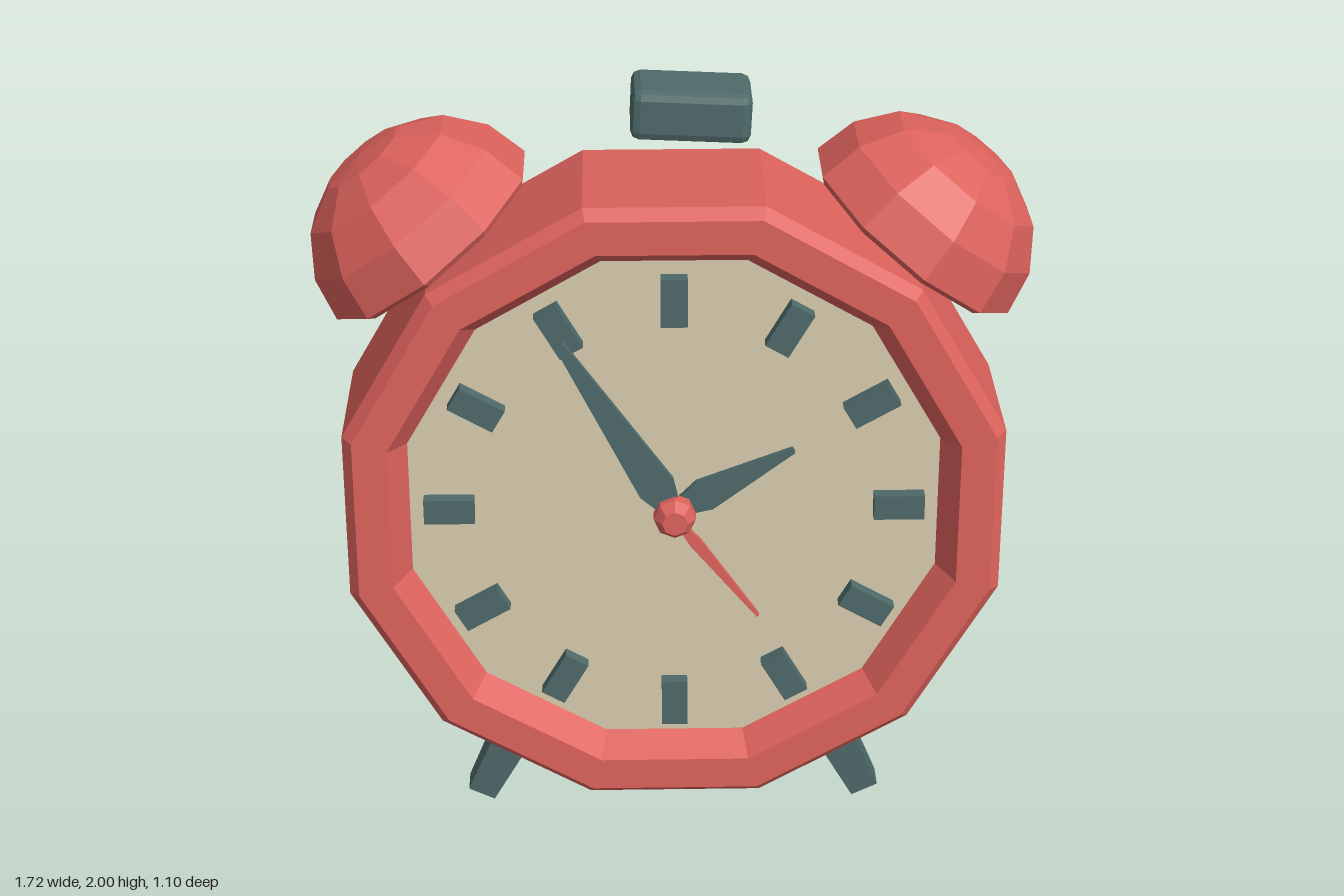
import * as THREE from 'three';
import { RoundedBoxGeometry } from 'three/addons/geometries/RoundedBoxGeometry.js';

const rad = THREE.MathUtils.degToRad;

const red = new THREE.MeshStandardMaterial({ color: 0xdd625c });
red.name = 'red enamel';
const dark = new THREE.MeshStandardMaterial({ color: 0x4f6a6a });
dark.name = 'dark slate';
const cream = new THREE.MeshStandardMaterial({ color: 0xd8cbae });
cream.name = 'cream dial';

// Faceted mesh: every triangle gets its own normal
function part(name, geometry, material, parent) {
  const g = geometry.index ? geometry.toNonIndexed() : geometry;
  g.computeVertexNormals();
  const mesh = new THREE.Mesh(g, material);
  mesh.name = name;
  parent.add(mesh);
  return mesh;
}

// Lathe from [radius, height] pairs, listed from bottom to top
function turned(points, sides, start = 0) {
  return new THREE.LatheGeometry(points.map(([r, h]) => new THREE.Vector2(r, h)), sides, start);
}

// Kite-shaped hand, narrow at the hub, widest near it and tapering to the tip
function hand(name, length, width, tip, clockAngle, z, depth, material, parent) {
  const s = new THREE.Shape();
  s.moveTo(-width * 0.2, 0);
  s.lineTo(width * 0.2, 0);
  s.lineTo(width / 2, 0.085);
  s.lineTo(tip / 2, length);
  s.lineTo(-tip / 2, length);
  s.lineTo(-width / 2, 0.085);
  s.closePath();
  const mesh = part(name, new THREE.ExtrudeGeometry(s, { depth, bevelEnabled: false }), material, parent);
  mesh.position.z = z;
  mesh.rotation.z = -rad(clockAngle);
}

export function createModel() {
  const model = new THREE.Group();
  model.name = 'alarmClock';

  // Clock is turned to its left and leans back slightly
  const clock = new THREE.Group();
  clock.name = 'clock';
  clock.position.y = 0.98;
  clock.rotation.set(rad(-5), rad(20), 0, 'YXZ');
  model.add(clock);

  // Twelve-sided case with bevelled back, rim and sloping inner wall
  const k = 1 / Math.cos(Math.PI / 12);
  const profile = [
    [0, -0.155], [0.78, -0.155], [0.81, -0.13], [0.81, 0.25],
    [0.785, 0.28], [0.70, 0.28], [0.65, 0.195],
  ].map(([a, h]) => [a * k, h]);
  part('case', turned(profile, 12, Math.PI / 12).rotateX(Math.PI / 2), red, clock);

  const dial = part('dial', new THREE.CircleGeometry(0.655 * k, 12, Math.PI / 12), cream, clock);
  dial.position.z = 0.203;

  // Hour marks
  for (let i = 0; i < 12; i++) {
    const a = (i * Math.PI) / 6;
    const mark = part('hourMark', new THREE.BoxGeometry(0.065, 0.125, 0.04), dark, clock);
    mark.position.set(Math.sin(a) * 0.557, Math.cos(a) * 0.557, 0.218);
    mark.rotation.z = -a;
  }

  // Hands and hub
  hand('hourHand', 0.335, 0.085, 0.012, 61, 0.225, 0.018, dark, clock);
  hand('minuteHand', 0.54, 0.095, 0.022, -31, 0.246, 0.018, dark, clock);
  hand('alarmHand', 0.345, 0.03, 0.008, 143, 0.272, 0.014, red, clock);
  part('hub', turned([[0, 0.225], [0.035, 0.225], [0.052, 0.25], [0.052, 0.285], [0.032, 0.312], [0, 0.312]], 8)
    .rotateX(Math.PI / 2), red, clock);

  // Top button, tipped a little to one side
  const buttonPivot = new THREE.Group();
  buttonPivot.name = 'buttonPivot';
  buttonPivot.rotation.z = -0.048;
  clock.add(buttonPivot);
  const button = part('button', new RoundedBoxGeometry(0.29, 0.125, 0.19, 1, 0.022), dark, buttonPivot);
  button.position.set(0, 0.953, -0.047);

  for (const side of [-1, 1]) {
    const label = side > 0 ? 'left' : 'right';

    // Domed bell
    const bell = part(label + 'Bell', turned([
      [0, 0], [0.29, 0], [0.308, 0.015], [0.283, 0.125], [0.215, 0.218], [0.11, 0.272], [0, 0.284],
    ], 10), red, clock);
    bell.position.set(side * 0.58, 0.63, 0);
    bell.rotation.z = -side * rad(38);

    // Tapered square leg
    const top = new THREE.Vector3(side * 0.36, -0.65, -0.01);
    const foot = new THREE.Vector3(side * 0.512, -0.962, -0.01);
    const leg = part(label + 'Leg',
      new THREE.CylinderGeometry(0.08, 0.053, top.distanceTo(foot), 4).rotateY(Math.PI / 4), dark, clock);
    leg.position.copy(top).add(foot).multiplyScalar(0.5);
    leg.rotation.z = Math.atan2(foot.x - top.x, top.y - foot.y);
  }

  return model;
}
